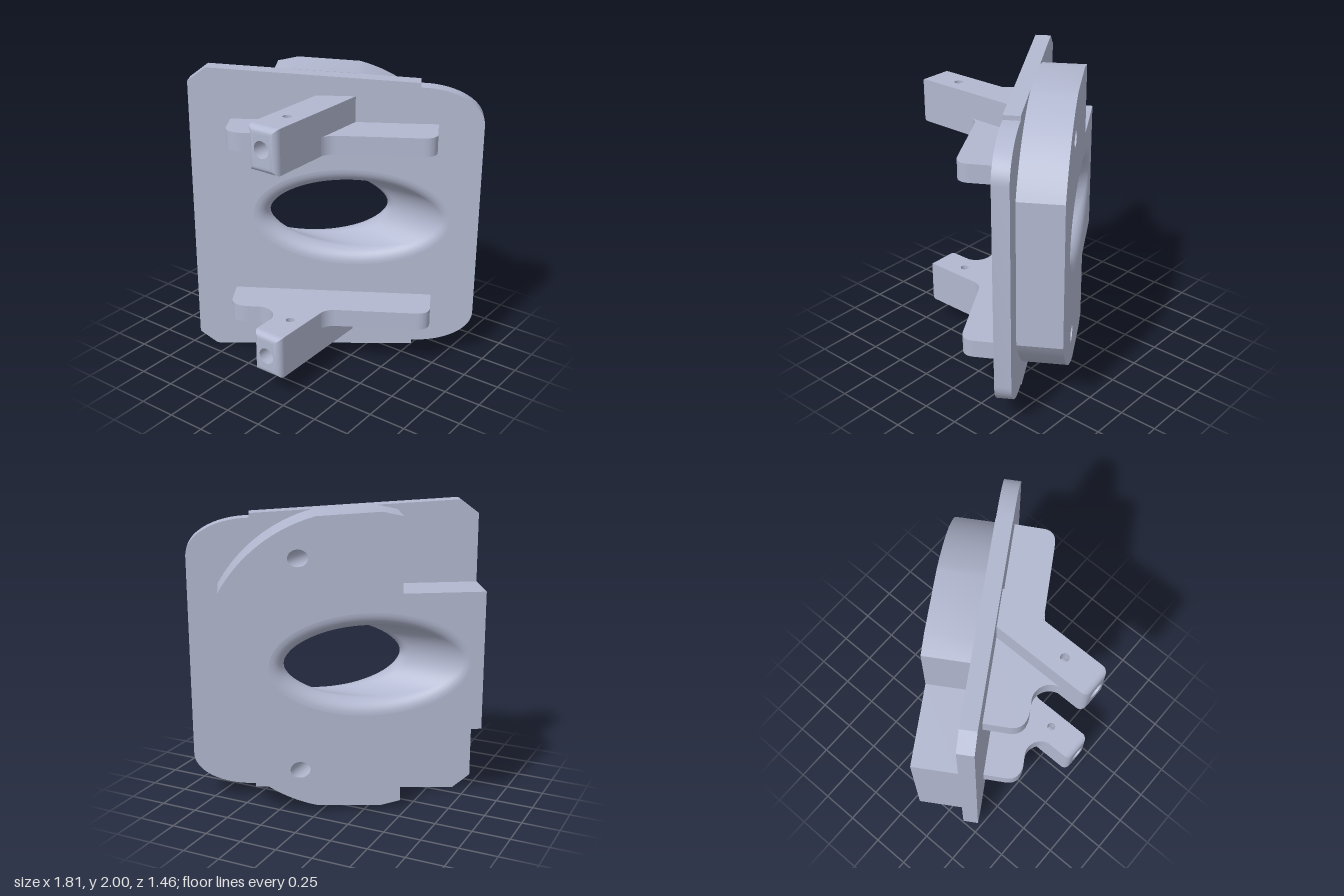
import * as THREE from 'three';
import { toCreasedNormals } from 'three/addons/utils/BufferGeometryUtils.js';

const TILT = 0.5515, C = Math.cos(TILT), S = Math.sin(TILT);
const FRONT = 0.046, MID = -0.06, BACK = -0.35;      // depths of the plate and block faces
const BORE = { r: 0.24, z: -0.15, fillet: 0.1 };     // slanted main bore, runs along world x
const PIN = { x: 0.103, y: 1.698, r: 0.055 };        // small bores, run along world z
const BAR = { x0: -0.003, x1: 0.209, y0: 1.547, y1: 1.837, z1: 0.73, r: 0.045 };

const steel = new THREE.MeshStandardMaterial({ color: 0xb2b8d0, side: THREE.DoubleSide });
steel.name = 'blue grey';

function add(parent, geometry, name) {
  const mesh = new THREE.Mesh(geometry, steel);
  mesh.name = name;
  parent.add(mesh);
}

// Skin over rings of [x, y, z] points
function loft(rings, closed = true) {
  const n = rings[0].length, index = [];
  for (let i = 0; i + 1 < rings.length; i++) {
    for (let j = 0; j < (closed ? n : n - 1); j++) {
      const k = (j + 1) % n, a = i * n, b = a + n;
      index.push(a + j, a + k, b + k, a + j, b + k, b + j);
    }
  }
  const g = new THREE.BufferGeometry();
  g.setAttribute('position', new THREE.Float32BufferAttribute(rings.flat(2), 3));
  g.setIndex(index);
  return toCreasedNormals(g, 0.5);
}

// Flat face with holes, optionally turned over
function face(points, holes, flip) {
  const shape = new THREE.Shape(points);
  shape.holes = holes.map((h) => new THREE.Path(h));
  const g = new THREE.ShapeGeometry(shape);
  if (flip) g.index.array.reverse();
  g.computeVertexNormals();
  return g;
}

const v2 = (x, y) => new THREE.Vector2(x, y);
const lift = (points, w) => points.map((p) => [p.x, p.y, w]);

function ellipse(cx, cy, rx, ry, n = 32) {
  return Array.from({ length: n }, (_, i) => {
    const a = (i / n) * Math.PI * 2;
    return v2(cx + rx * Math.cos(a), cy + ry * Math.sin(a));
  });
}

// Add the mirror image of a lower outline about y = 1
const mirrored = (half) => [...half, ...half.map((p) => v2(p.x, 2 - p.y)).reverse()];

// Both pin bore openings on a tilted plane at depth w
function pinHoles(w) {
  const u = C * PIN.x - S * (w - S * PIN.x) / C;
  return [PIN.y, 2 - PIN.y].map((y) => ellipse(u, y, PIN.r / C, PIN.r));
}

// One ring of the bore's rolled edge: t = 0 on the flat face, t = 1 on the bore wall
function boreRing(w, side, t) {
  const ring = [], n = 96, { r, z, fillet } = BORE, wc = w - side * fillet;
  for (let i = 0; i < n; i++) {
    const a = (i / n) * Math.PI * 2, R = r + fillet;
    const centre = new THREE.Vector3((C * wc - z - R * Math.cos(a)) / S, 1 + R * Math.sin(a), wc);
    const d1 = new THREE.Vector3(0, 0, side);
    const d2 = new THREE.Vector3(S * Math.cos(a), -Math.sin(a), -C * Math.cos(a));
    const turn = d1.angleTo(d2);
    d1.multiplyScalar(Math.sin((1 - t) * turn)).addScaledVector(d2, Math.sin(t * turn));
    centre.addScaledVector(d1, fillet / Math.sin(turn));
    ring.push(centre.toArray());
  }
  return ring;
}

function createBody() {
  const body = new THREE.Group();
  body.name = 'tiltedBody';
  body.rotation.y = TILT;

  // Front plate outline: chamfered on one side, rounded on the other
  const plateHalf = [v2(-0.85, 0.09), v2(-0.732, 0), v2(0.623, 0.066), v2(0.623, 0.095)];
  for (let i = 1; i <= 16; i++) {
    const a = (i / 16) * Math.PI / 2;
    plateHalf.push(v2(0.623 + 0.406 * Math.sin(a), 0.33 - 0.235 * Math.cos(a)));
  }
  const plate = mirrored(plateHalf);

  // Rear block outline with side arm
  const blockHalf = [v2(-0.85, 0.54), v2(-0.32, 0.54), v2(-0.32, 0.055), v2(-0.186, 0.025)];
  const a0 = Math.atan2(-0.955, 0.246), a1 = Math.atan2(-0.49, 0.856);
  for (let i = 0; i <= 16; i++) {
    const a = a0 + (a1 - a0) * i / 16;
    blockHalf.push(v2(-0.024 + 0.986 * Math.cos(a), 1 + 0.986 * Math.sin(a)));
  }
  const block = mirrored(blockHalf);

  const rim = (w, side) => boreRing(w, side, 0).map((p) => v2(p[0], p[1]));
  const front = face(plate, [rim(FRONT, 1), ...pinHoles(FRONT)], false);
  const middle = face(plate, [ellipse(0.13, 1, 0.66, 0.42), ...pinHoles(MID)], true);
  const back = face(block, [rim(BACK, -1), ...pinHoles(BACK)], true);
  add(body, front.translate(0, 0, FRONT), 'plateFront');
  add(body, middle.translate(0, 0, MID), 'plateBack');
  add(body, back.translate(0, 0, BACK), 'blockBack');
  add(body, loft([lift(plate, MID), lift(plate, FRONT)]), 'plateEdge');
  add(body, loft([lift(block, BACK), lift(block, MID)]), 'blockEdge');

  // Main bore with rolled edges at both ends
  const steps = Array.from({ length: 11 }, (_, i) => i / 10);
  add(body, loft([
    ...steps.map((t) => boreRing(BACK, -1, t)),
    ...steps.map((t) => boreRing(FRONT, 1, 1 - t)),
  ]), 'mainBore');
  return body;
}

function createBracket() {
  const bracket = new THREE.Group();
  const { x0, x1, y0, y1, z1, r } = BAR, zs = z1 - r;
  const plateZ = (x) => (FRONT - 0.02 - S * x) / C;

  // Lugs on both sides of the bar, drawn in plan
  const left = new THREE.Shape();
  left.moveTo(-0.48, 0.33);
  left.lineTo(-0.391, 0.478);
  left.quadraticCurveTo(-0.334, 0.571, -0.222, 0.502);
  left.absarc(-0.115, 0.57, 0.115, -2.13, 0, false);
  left.lineTo(0.01, 0.57);
  left.lineTo(0.01, plateZ(0.01));
  const right = new THREE.Shape();
  right.moveTo(0.2, plateZ(0.2));
  right.lineTo(0.2, 0.29);
  right.lineTo(0.209, 0.29);
  right.quadraticCurveTo(0.213, 0.236, 0.266, 0.203);
  right.lineTo(0.71, -0.068);
  right.quadraticCurveTo(0.793, -0.119, 0.744, -0.198);
  right.lineTo(0.646, -0.366);
  for (const [shape, name] of [[left, 'leftLug'], [right, 'rightLug']]) {
    const g = new THREE.ExtrudeGeometry(shape, { depth: 0.121, bevelEnabled: false, curveSegments: 16 });
    add(bracket, toCreasedNormals(g.rotateX(Math.PI / 2).translate(0, 1.668, 0), 0.5), name);
  }

  // Bar: top and bottom with a cross hole, sides, rounded nose
  const plan = [v2(x0, plateZ(x0)), v2(x1, plateZ(x1)), v2(x1, zs), v2(x0, zs)];
  const cross = ellipse(0.105, 0.484, 0.028, 0.028, 24);
  for (const [y, flip, name] of [[y0, false, 'barBottom'], [y1, true, 'barTop']]) {
    add(bracket, face(plan, [cross], flip).rotateX(Math.PI / 2).translate(0, y, 0), name);
  }
  for (const [x, a, b, name] of [[x1, y0, y1, 'barLeftSide'], [x0, y1, y0, 'barRightSide']]) {
    add(bracket, loft([[[x, a, plateZ(x)], [x, b, plateZ(x)]], [[x, a, zs], [x, b, zs]]], false), name);
  }
  const rect = (d) => [v2(x0 + d, y0 + d), v2(x1 - d, y0 + d), v2(x1 - d, y1 - d), v2(x0 + d, y1 - d)];
  const nose = [];
  for (let i = 0; i <= 8; i++) {
    const a = (i / 8) * Math.PI / 2;
    nose.push(lift(rect(r * (1 - Math.cos(a))), zs + r * Math.sin(a)));
  }
  add(bracket, loft(nose), 'barNose');
  const circle = ellipse(PIN.x, PIN.y, PIN.r, PIN.r);
  add(bracket, face(rect(r), [circle], false).translate(0, 0, z1), 'barEnd');

  // Long pin bore reaching the back of the block, and the cross hole
  const far = circle.map((p) => [p.x, p.y, (BACK - S * p.x) / C]);
  add(bracket, loft([lift(circle, z1), far]), 'pinBore');
  for (const [a, b] of [[y0, PIN.y - PIN.r], [PIN.y + PIN.r, y1]]) {
    const tube = new THREE.CylinderGeometry(0.028, 0.028, b - a, 24, 1, true);
    add(bracket, tube.translate(0.105, (a + b) / 2, 0.484), 'crossHole');
  }
  return bracket;
}

export function createModel() {
  const model = new THREE.Group();
  model.name = 'slantedBracketBlock';
  const upper = createBracket(), lower = createBracket();
  upper.name = 'upperBracket';
  lower.name = 'lowerBracket';
  lower.scale.y = -1;
  lower.position.y = 2;
  model.add(createBody(), upper, lower);
  return model;
}
